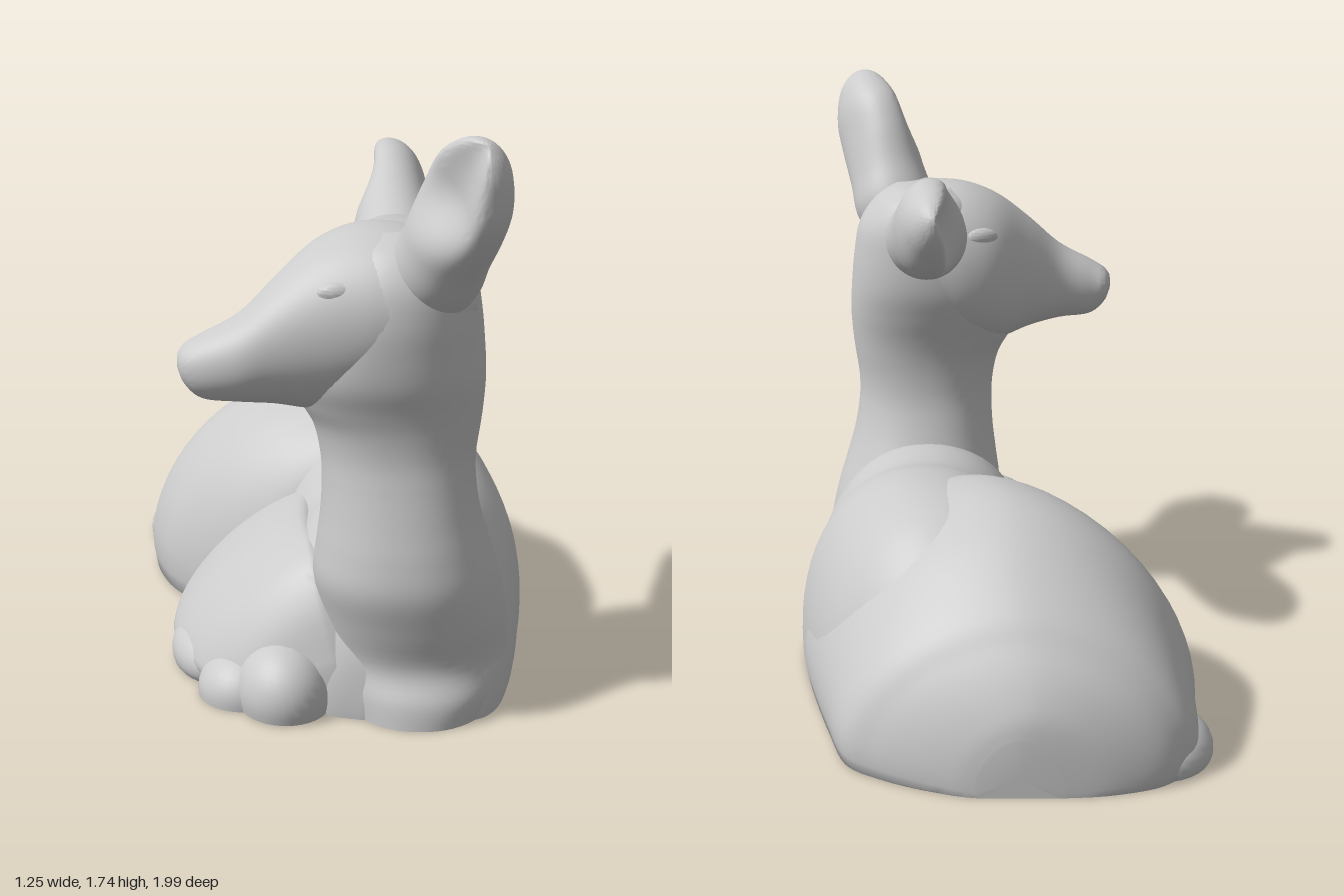
import * as THREE from 'three';
import { toCreasedNormals } from 'three/addons/utils/BufferGeometryUtils.js';

const material = new THREE.MeshStandardMaterial({ color: 0xcccccc });

// Smooth interpolation through the rows of a section table
function sampleRows(rows, t) {
  const last = rows.length - 1;
  const i = Math.min(Math.floor(t * last), last - 1);
  const u = t * last - i;
  const row = (k) => rows[Math.max(0, Math.min(last, k))];
  return rows[0].map((_, j) => {
    const [a, b, c, d] = [row(i - 1)[j], row(i)[j], row(i + 1)[j], row(i + 2)[j]];
    return b + 0.5 * u * (c - a + u * (2 * a - 5 * b + 4 * c - d + u * (3 * (b - c) + d - a)));
  });
}

// Closed skin over rings; point(row, cos, sin) gives each vertex
function loft(name, rows, point, power = 2, around = 56, perRow = 5) {
  const steps = (rows.length - 1) * perRow;
  const rings = [];
  const soft = (v) => Math.sign(v) * Math.abs(v) ** (2 / power);
  for (let i = 0; i <= steps; i++) {
    const row = sampleRows(rows, i / steps);
    const ring = [];
    for (let j = 0; j < around; j++) {
      const a = (j / around) * Math.PI * 2;
      const p = point(row, soft(Math.cos(a)), soft(Math.sin(a)));
      p.y = Math.max(0, p.y); // flat underside
      ring.push(p);
    }
    rings.push(ring);
  }
  const points = rings.flat();
  const index = [];
  for (let i = 0; i < steps; i++) {
    for (let j = 0; j < around; j++) {
      const k = (j + 1) % around;
      const a = i * around + j, b = i * around + k;
      index.push(a, b, a + around, b, b + around, a + around);
    }
  }
  // End caps
  [0, steps].forEach((r) => {
    const centre = new THREE.Vector3();
    rings[r].forEach((p) => centre.addScaledVector(p, 1 / around));
    const c = points.push(centre) - 1;
    for (let j = 0; j < around; j++) {
      const a = r * around + j, b = r * around + ((j + 1) % around);
      if (r === 0) index.push(c, b, a);
      else index.push(c, a, b);
    }
  });
  // Turn the faces outward if the volume comes out negative
  let volume = 0;
  const cross = new THREE.Vector3();
  for (let i = 0; i < index.length; i += 3) {
    cross.crossVectors(points[index[i + 1]], points[index[i + 2]]);
    volume += points[index[i]].dot(cross);
  }
  if (volume < 0) index.reverse();
  const geometry = new THREE.BufferGeometry().setFromPoints(points);
  geometry.setIndex(index);
  const mesh = new THREE.Mesh(toCreasedNormals(geometry, 0.9), material);
  mesh.name = name;
  return mesh;
}

const mix = (lo, hi, v) => (lo + hi) / 2 + ((hi - lo) / 2) * v;

// Dome sections along z: [z, xMin, xMax, yTop]
const dome = ([z, x0, x1, top], c, s) =>
  new THREE.Vector3(mix(x0, x1, c), mix(-0.7 * top, top, s), z);
// Level sections along y: [y, xMin, xMax, zMin, zMax]
const level = ([y, x0, x1, z0, z1], c, s) =>
  new THREE.Vector3(mix(x0, x1, c), y, mix(z0, z1, s));
// Upright sections along x: [x, yMin, yMax, zMin, zMax]
const upright = ([x, y0, y1, z0, z1], c, s) =>
  new THREE.Vector3(x, mix(y0, y1, c), mix(z0, z1, s));

// Ellipsoid flattened where it meets the ground
function blob(name, [x, y, z], [rx, ry, rz], turn = 0) {
  const geometry = new THREE.SphereGeometry(1, 32, 20).scale(rx, ry, rz);
  geometry.rotateY(turn).translate(x, y, z);
  const p = geometry.attributes.position;
  for (let i = 0; i < p.count; i++) p.setY(i, Math.max(0, p.getY(i)));
  const mesh = new THREE.Mesh(toCreasedNormals(geometry, 0.8), material);
  mesh.name = name;
  return mesh;
}

// Leaf-shaped ear, hollowed on the side that faces the muzzle
function ear(name, base, tip, across) {
  const start = new THREE.Vector3(...base);
  const axis = new THREE.Vector3(...tip).sub(start);
  const dir = axis.clone().normalize();
  const wide = new THREE.Vector3(...across);
  wide.addScaledVector(dir, -wide.dot(dir)).normalize();
  const face = new THREE.Vector3().crossVectors(dir, wide);
  if (face.x > 0) face.negate();
  const rows = [ // along, half width, half thickness
    [-0.1, 0.12, 0.11], [0.05, 0.134, 0.13], [0.25, 0.138, 0.12], [0.5, 0.152, 0.112],
    [0.7, 0.145, 0.105], [0.87, 0.1, 0.08], [0.96, 0.055, 0.045], [1, 0.012, 0.01],
  ];
  return loft(name, rows, ([t, w, d], c, s) => {
    const hollow = 0.75 * THREE.MathUtils.smoothstep(t, 0.3, 0.65);
    const depth = s > 0 ? s * (1 - hollow * s * s) : s;
    return start.clone().addScaledVector(axis, t)
      .addScaledVector(wide, w * c).addScaledVector(face, d * depth);
  });
}

export function createModel() {
  const group = new THREE.Group();
  group.name = 'lyingFawn';

  // Rounded hindquarters with the folded thigh
  group.add(loft('hindquarters', [
    [-1, -0.18, 0.06, 0.17], [-0.985, -0.32, 0.13, 0.24], [-0.94, -0.46, 0.25, 0.33],
    [-0.88, -0.53, 0.36, 0.41], [-0.8, -0.575, 0.45, 0.495], [-0.6, -0.58, 0.51, 0.625],
    [-0.4, -0.585, 0.56, 0.68], [-0.2, -0.52, 0.6, 0.672], [-0.08, -0.43, 0.6, 0.64],
    [0.02, -0.31, 0.56, 0.59], [0.08, -0.2, 0.5, 0.5], [0.12, 0, 0.4, 0.35],
  ], dome, 1.78, 64));

  // Ribs and shoulders
  group.add(loft('torso', [
    [-0.75, -0.1, 0.32, 0.38], [-0.6, -0.18, 0.45, 0.54], [-0.45, -0.22, 0.53, 0.635],
    [-0.25, -0.22, 0.585, 0.655], [0, -0.18, 0.625, 0.635], [0.2, -0.14, 0.615, 0.588],
    [0.38, -0.13, 0.6, 0.59], [0.52, -0.12, 0.58, 0.54], [0.65, -0.06, 0.55, 0.4],
    [0.73, 0.04, 0.5, 0.24], [0.76, 0.15, 0.42, 0.1],
  ], dome, 2.1, 64));

  // Foreleg tucked against the side, sloping up into the shoulder
  group.add(loft('foldedForeleg', [
    [-0.2, -0.38, 0.34, 0.4], [0, -0.44, 0.35, 0.44], [0.2, -0.45, 0.35, 0.45],
    [0.35, -0.43, 0.35, 0.45], [0.5, -0.37, 0.35, 0.44], [0.6, -0.31, 0.32, 0.4],
    [0.68, -0.22, 0.28, 0.3], [0.73, -0.1, 0.24, 0.15],
  ], dome, 1.32));
  group.add(blob('sideForefoot', [-0.32, 0.04, 0.36], [0.12, 0.1, 0.2], 0.2));
  group.add(blob('frontForefoot', [-0.08, 0.05, 0.66], [0.14, 0.15, 0.165], 0.2));
  group.add(blob('frontForefootToe', [-0.2, 0.02, 0.58], [0.14, 0.12, 0.15]));
  group.add(blob('hindFoot', [-0.46, 0.03, -0.71], [0.165, 0.11, 0.2]));

  // Chest rising into the neck
  group.add(loft('chestAndNeck', [
    [0, 0.09, 0.53, 0.25, 0.83], [0.07, 0.07, 0.56, 0.25, 0.82], [0.16, 0.04, 0.57, 0.25, 0.785],
    [0.28, 0.02, 0.565, 0.27, 0.815], [0.4, 0, 0.54, 0.3, 0.843], [0.5, 0.01, 0.51, 0.34, 0.833],
    [0.6, 0.022, 0.482, 0.38, 0.81], [0.7, 0.026, 0.467, 0.41, 0.787],
    [0.78, 0.02, 0.467, 0.417, 0.774], [0.86, 0, 0.478, 0.41, 0.777],
    [0.93, -0.04, 0.486, 0.392, 0.792], [1.01, -0.07, 0.49, 0.362, 0.816],
    [1.1, -0.06, 0.485, 0.335, 0.825], [1.2, -0.02, 0.475, 0.33, 0.825],
    [1.3, 0.03, 0.455, 0.34, 0.805], [1.38, 0.08, 0.4, 0.37, 0.75], [1.42, 0.15, 0.34, 0.43, 0.67],
  ], level, 2.15));

  // Head turned to the side, tapering to the muzzle
  group.add(loft('head', [
    [-0.37, 1.04, 1.085, 0.66, 0.73], [-0.35, 0.995, 1.11, 0.625, 0.765],
    [-0.3, 0.955, 1.14, 0.605, 0.79], [-0.2, 0.945, 1.195, 0.565, 0.81],
    [-0.1, 0.93, 1.29, 0.475, 0.815], [0, 0.905, 1.375, 0.37, 0.82],
    [0.1, 0.91, 1.42, 0.33, 0.825], [0.2, 0.95, 1.43, 0.33, 0.825],
    [0.3, 1, 1.41, 0.35, 0.81], [0.4, 1.1, 1.35, 0.43, 0.76], [0.46, 1.18, 1.28, 0.53, 0.68],
  ], upright, 2.1));
  group.add(blob('leftEye', [0.08, 1.28, 0.775], [0.06, 0.032, 0.025], 0.1));
  group.add(blob('rightEye', [0.06, 1.28, 0.39], [0.06, 0.032, 0.025], 0.4));

  group.add(ear('leftEar', [0.34, 1.31, 0.685], [0.475, 1.725, 0.95], [0.18, -0.2, 0.3]));
  group.add(ear('rightEar', [0.235, 1.27, 0.42], [0.19, 1.465, -0.19], [0, 1, 0.28]));

  return group;
}
